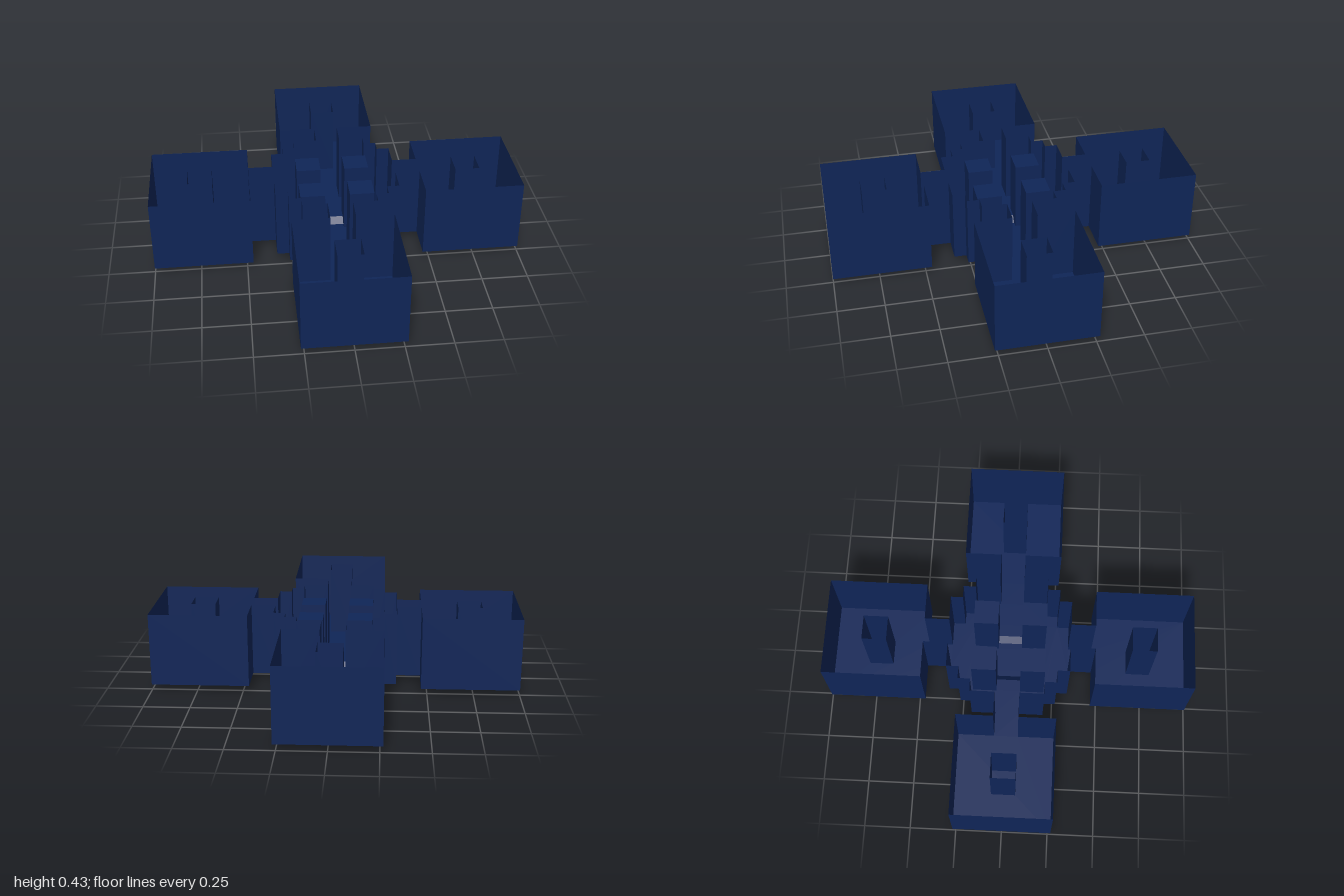
import * as THREE from 'three';

const U = 1 / 15;            // plan module
const FLOOR = 0.033, TOP = 0.433, PILLAR_TOP = 0.395;

// Repeat a quarter outline four times around the y axis
function fourfold(points) {
  const out = [];
  let ring = points;
  for (let i = 0; i < 4; i++) {
    out.push(...ring);
    ring = ring.map(([x, z]) => [-z, x]);
  }
  return out;
}

const scaled = (points) => points.map(([x, z]) => new THREE.Vector2(x * U, z * U));

// Quads given as four corners each
function quads(list) {
  const pos = [];
  for (const [a, b, c, d] of list) pos.push(...a, ...b, ...c, ...a, ...c, ...d);
  const g = new THREE.BufferGeometry();
  g.setAttribute('position', new THREE.Float32BufferAttribute(pos, 3));
  g.computeVertexNormals();
  return g;
}

// Thin vertical walls along a closed outline
function walls(outline, y0, y1) {
  return quads(outline.map((p, i) => {
    const q = outline[(i + 1) % outline.length];
    return [[p.x, y0, p.y], [p.x, y1, p.y], [q.x, y1, q.y], [q.x, y0, q.y]];
  }));
}

function square(cx, cz, half) {
  return scaled([[cx - half, cz - half], [cx + half, cz - half], [cx + half, cz + half], [cx - half, cz + half]]);
}

export function createModel() {
  const model = new THREE.Group();
  const navy = new THREE.MeshStandardMaterial({ color: 0x0f2557, side: THREE.DoubleSide });
  navy.name = 'navy';

  function add(name, geometry, parent = model) {
    const mesh = new THREE.Mesh(geometry, navy);
    mesh.name = name;
    parent.add(mesh);
    return mesh;
  }

  // Outline of the stepped hall, corridors and four rooms
  const plan = scaled(fourfold([
    [4, -4], [4, -3], [5, -3], [5, -1], [7, -1], [7, -4], [15, -4],
    [15, 4], [7, 4], [7, 1], [5, 1], [5, 3], [4, 3],
  ]));
  add('outerWalls', walls(plan, FLOOR, TOP));

  // Floor, open under the pit and the hollow pillars
  const floorShape = new THREE.Shape(plan);
  floorShape.holes.push(new THREE.Path(scaled(fourfold([[2, -1], [2, 1], [3, 1], [3, 3], [1, 3]]))));
  const floor = add('floor', new THREE.ShapeGeometry(floorShape).rotateX(Math.PI / 2));
  floor.position.y = FLOOR;

  // Four hall pillars with closed tops
  for (const sx of [-1, 1]) for (const sz of [-1, 1]) {
    const pillar = new THREE.Group();
    pillar.name = 'hallPillar';
    add('pillarSides', walls(square(2 * sx, 2 * sz, 1), FLOOR, PILLAR_TOP), pillar);
    const cap = add('pillarTop', new THREE.PlaneGeometry(2 * U, 2 * U).rotateX(-Math.PI / 2), pillar);
    cap.position.set(2 * U * sx, PILLAR_TOP, 2 * U * sz);
    model.add(pillar);
  }

  // Open square shaft in the middle of each room, and one sloped pit arm per side
  const a = U, b = 1.5 * U, c = 2 * U;
  const armGeometry = quads([
    [[b, 0, -a], [b, 0, a], [c, FLOOR, a], [c, FLOOR, -a]],
    [[a, 0, -a], [a, 0, a], [b, 0, a], [b, 0, -a]],
    [[a, 0, a], [b, 0, a], [c, FLOOR, a], [a, FLOOR, a]],
    [[a, 0, -a], [a, FLOOR, -a], [c, FLOOR, -a], [b, 0, -a]],
  ]);
  const shaftGeometry = walls(square(11, 0, 1), FLOOR, TOP);
  for (let i = 0; i < 4; i++) {
    add('roomShaft', shaftGeometry).rotation.y = i * Math.PI / 2;
    add('pitArm', armGeometry).rotation.y = i * Math.PI / 2;
  }
  add('pitFloor', new THREE.PlaneGeometry(2 * U, 2 * U).rotateX(-Math.PI / 2));

  return model;
}
